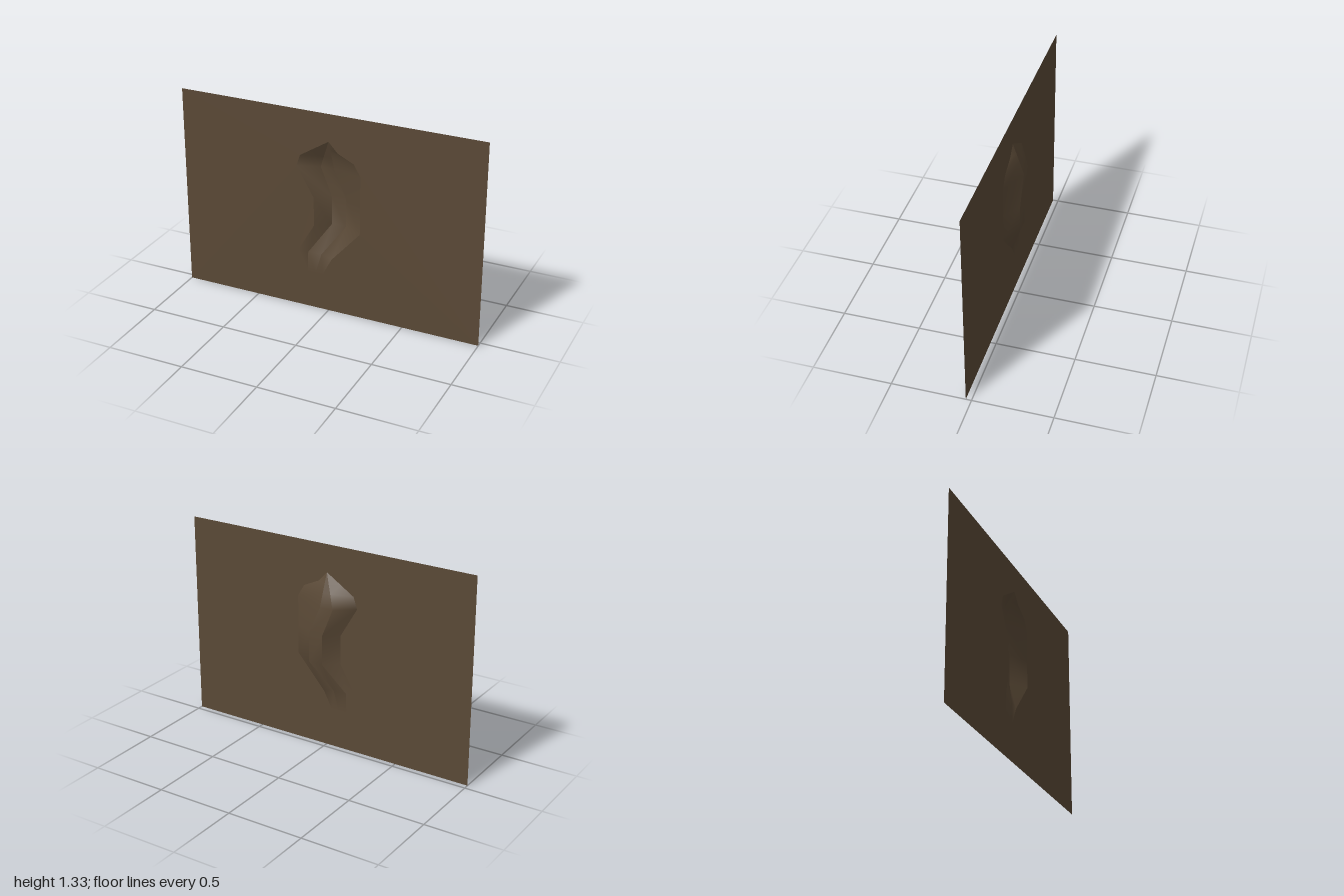
import * as THREE from 'three';

const FACE = 0.035;
// Rows from the peak down: left rim, left floor edge, right floor edge, right rim (x, y), then floor depth z
const rows = [
  [[0, 1.155], [0, 1.155], [0, 1.155], [0, 1.155], FACE],
  [[-0.1, 1.092], [-0.027, 1.09], [0.002, 1.09], [0.06, 1.09], 0.0126],
  [[-0.19, 1.035], [-0.05, 1.035], [0.003, 1.035], [0.165, 1.04], -0.006],
  [[-0.215, 0.96], [-0.085, 0.95], [0.005, 0.95], [0.21, 0.965], -FACE],
  [[-0.1, 0.765], [-0.01, 0.765], [0.085, 0.765], [0.21, 0.765], -FACE],
  [[-0.1, 0.575], [-0.01, 0.575], [0.085, 0.575], [0.21, 0.58], -FACE],
  [[-0.21, 0.385], [-0.14, 0.385], [-0.05, 0.385], [0.02, 0.365], FACE],
  [[-0.21, 0.25], [-0.145, 0.25], [-0.09, 0.25], [-0.04, 0.25], FACE],
];

// One lengthwise strip of the hollow, smooth along its length
function hollowStrip(column) {
  const positions = [], index = [];
  rows.forEach((row, i) => {
    for (const c of [column, column + 1]) {
      const z = c === 0 || c === 3 ? FACE : row[4];
      positions.push(row[c][0], row[c][1], z);
    }
    if (i === 0) return;
    const a = 2 * i - 2;
    if (i > 1) index.push(a, a + 2, a + 3, a, a + 3, a + 1);
    else index.push(a, a + 2, a + 3);
  });
  const geometry = new THREE.BufferGeometry();
  geometry.setAttribute('position', new THREE.Float32BufferAttribute(positions, 3));
  geometry.setIndex(index);
  geometry.computeVertexNormals();
  return geometry;
}

export function createModel() {
  const group = new THREE.Group();
  const earth = new THREE.MeshStandardMaterial({ color: 0x5a4936, side: THREE.DoubleSide });
  earth.name = 'earth brown';

  const add = (name, geometry) => {
    const mesh = new THREE.Mesh(geometry, earth);
    mesh.name = name;
    group.add(mesh);
    return mesh;
  };

  // Flat sheet with an opening that follows the rim of the hollow
  const sheet = new THREE.Shape([[-1, 0], [1, 0], [1, 1.333], [-1, 1.333]].map(p => new THREE.Vector2(...p)));
  const rim = [...rows.map(r => r[0]), ...rows.slice(1).reverse().map(r => r[3])];
  sheet.holes.push(new THREE.Path(rim.map(p => new THREE.Vector2(...p))));
  add('flatSheet', new THREE.ShapeGeometry(sheet)).position.z = FACE;

  // Sunken winding hollow
  ['hollowLeftWall', 'hollowFloor', 'hollowRightWall'].forEach((name, i) => add(name, hollowStrip(i)));

  return group;
}
